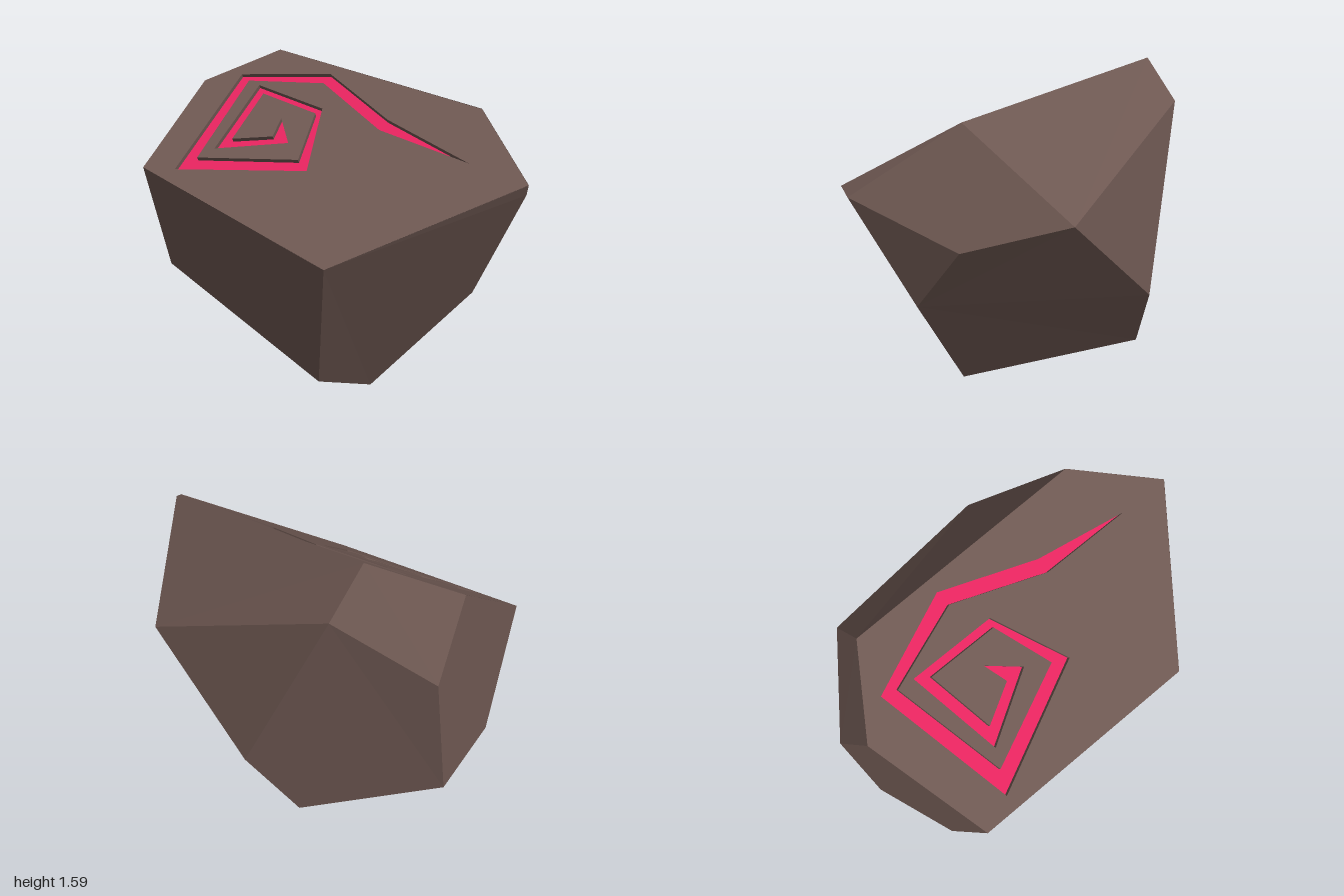
import * as THREE from 'three';

// Corners of the faceted boulder
const P = {
  A: [-0.65, 1.59, -0.39], B: [-0.95, 1.43, -0.10], C: [-0.89, 1.06, 0.47],
  D: [0.34, 0.80, 0.69], E: [1.0, 1.13, 0.08], F: [0.62, 1.385, -0.26],
  G: [0.10, 0.095, 0.375], H: [0.23, 0, 0.10], I: [-0.42, 0.16, -0.52],
  J: [-0.24, 0.49, -0.695], K: [0.36, 0.945, -0.67], L: [-0.63, 1.385, -0.57],
  M: [0.71, 0.84, -0.32], N: [0.70, 0.54, -0.05], O: [0.985, 1.08, 0.06],
  Q: [-1.0, 0.44, -0.18], R: [-0.94, 0.48, 0.25], S: [-0.99, 1.10, -0.30],
};
const SIDES = ['CDGR', 'BCRQS', 'ABSL', 'AFKL', 'KJL', 'LSQIJ', 'FEOMK', 'OMN', 'NMKJIH', 'DEONHG', 'GHIQR'];

// Angular spiral outline, as x and z on the sloping top
const SPIRAL = [
  [-0.76, -0.185], [-0.26, -0.295], [0.20, -0.095], [0.70, 0.04], [0.19, -0.03],
  [-0.26, -0.23], [-0.69, -0.155], [-0.64, 0.345], [-0.11, 0.225], [-0.19, -0.045],
  [-0.55, -0.095], [-0.53, 0.20], [-0.325, 0.135], [-0.35, 0.025], [-0.22, 0.15],
  [-0.585, 0.275], [-0.61, -0.14], [-0.17, -0.08], [-0.03, 0.27], [-0.71, 0.435],
];

// Plane of the top, and the offset from it to the groove floor
const topY = (x, z) => 1.276 - 0.0963 * x - 0.643 * z;
const sink = new THREE.Vector3(0.0963, 1, 0.643).normalize().multiplyScalar(-0.02);
const onTop = ([x, z]) => new THREE.Vector3(x, topY(x, z), z);

function flatGeometry(points) {
  const geo = new THREE.BufferGeometry().setFromPoints(points);
  geo.computeVertexNormals();
  return geo;
}

// Fans each loop of corners into triangles that face away from the middle
function sideGeometry() {
  const centre = new THREE.Vector3(0, 0.8, 0);
  const points = [];
  for (const loop of SIDES) {
    const v = [...loop].map((k) => new THREE.Vector3(...P[k]));
    for (let i = 1; i < v.length - 1; i++) {
      const [a, b, c] = [v[0], v[i], v[i + 1]];
      const n = b.clone().sub(a).cross(c.clone().sub(a));
      points.push(...(n.dot(a.clone().sub(centre)) > 0 ? [a, b, c] : [a, c, b]));
    }
  }
  return flatGeometry(points);
}

// Lays a flat shape on the sloping top
function layOnTop(shape) {
  const geo = new THREE.ShapeGeometry(shape);
  const pos = geo.attributes.position;
  for (let i = 0; i < pos.count; i++) {
    const x = pos.getX(i), z = -pos.getY(i);
    pos.setXYZ(i, x, topY(x, z), z);
  }
  geo.computeVertexNormals();
  return geo;
}

// Thin walls from the top down to the groove floor
function wallGeometry() {
  const points = [];
  SPIRAL.forEach((p, i) => {
    const a = onTop(p), b = onTop(SPIRAL[(i + 1) % SPIRAL.length]);
    const c = b.clone().add(sink), d = a.clone().add(sink);
    points.push(a, c, b, a, d, c);
  });
  return flatGeometry(points);
}

export function createModel() {
  const stone = new THREE.MeshStandardMaterial({ color: 0x6e5852, side: THREE.DoubleSide });
  stone.name = 'brown stone';
  const red = new THREE.MeshStandardMaterial({ color: 0xe6245f });
  red.name = 'crimson';

  const model = new THREE.Group();
  model.name = 'carvedBoulder';
  const add = (name, geo, mat) => {
    const mesh = new THREE.Mesh(geo, mat);
    mesh.name = name;
    model.add(mesh);
    return mesh;
  };

  const flat = (list) => list.map(([x, z]) => new THREE.Vector2(x, -z));
  const top = new THREE.Shape(flat([...'ABCDEF'].map((k) => [P[k][0], P[k][2]])));
  top.holes.push(new THREE.Path(flat(SPIRAL)));

  add('boulderSides', sideGeometry(), stone);
  add('boulderTop', layOnTop(top), stone);
  add('grooveWalls', wallGeometry(), stone);
  add('spiralFloor', layOnTop(new THREE.Shape(flat(SPIRAL))), red).position.copy(sink);
  return model;
}
